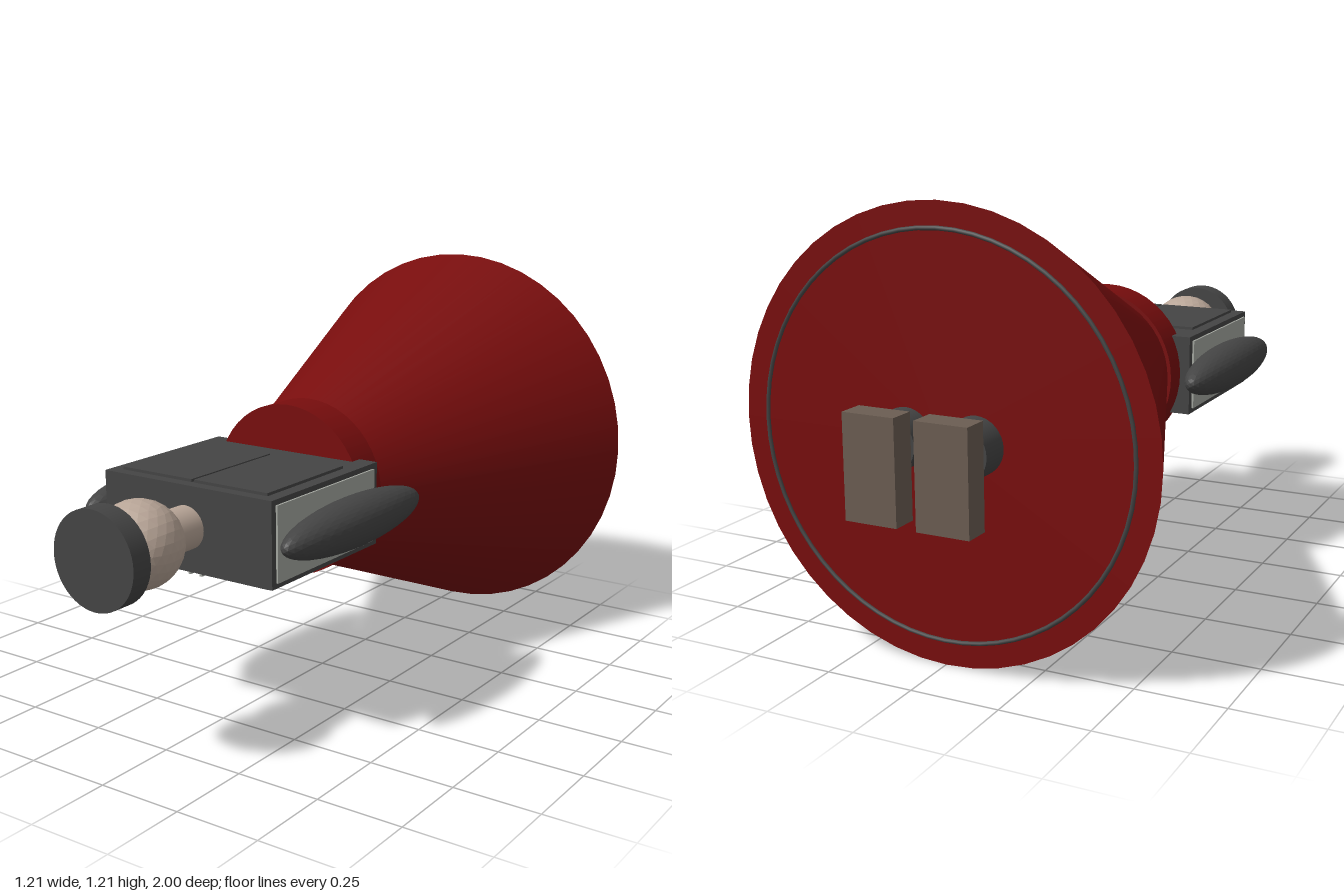
import * as THREE from 'three';

const mat = (color, flatShading = false) => new THREE.MeshStandardMaterial({ color, flatShading });

export function createModel() {
  const model = new THREE.Group();
  const red = mat(0x780d0d);
  const dark = mat(0x444444);
  const darkFaceted = mat(0x444444, true);
  const skin = mat(0xb8a597);
  const skinFaceted = mat(0xb8a597, true);
  const pale = mat(0xa3a69f);
  const brown = mat(0x6b5d52);
  const cy = 0.61; // height of the long axis

  function add(name, geometry, material, x, y, z) {
    const mesh = new THREE.Mesh(geometry, material);
    mesh.name = name;
    mesh.position.set(x, y, z);
    model.add(mesh);
    return mesh;
  }
  // Box from its centre and size
  const box = (name, material, x, y, z, w, h, d) =>
    add(name, new THREE.BoxGeometry(w, h, d), material, x, y, z);
  // Cylinder lying along z, from z0 (back) to z1 (front)
  function rod(name, material, x, rBack, rFront, z0, z1, sides = 48) {
    const g = new THREE.CylinderGeometry(rFront, rBack, z1 - z0, sides).rotateX(Math.PI / 2);
    return add(name, g, material, x, cy, (z0 + z1) / 2);
  }

  // Flared skirt, waistband and the thin ring set into the base
  rod('skirt', red, 0, 0.605, 0.24, -0.83, 0.08);
  rod('waistband', red, 0, 0.255, 0.255, 0.07, 0.18);
  add('baseRing', new THREE.TorusGeometry(0.537, 0.006, 6, 64), dark, 0, cy, -0.832);

  // Torso block with two raised panels above and below
  box('torso', dark, 0, 0.607, 0.393, 0.57, 0.24, 0.5);
  for (const s of [-1, 1]) {
    box('topPanel', dark, s * 0.126, 0.728, 0.435, 0.244, 0.014, 0.35);
    box('bottomPanel', dark, s * 0.126, 0.482, 0.435, 0.244, 0.02, 0.35);
    box('bottomSeam', pale, s * 0.02, 0.47, 0.435, 0.008, 0.008, 0.35);
    box('sidePanel', pale, s * 0.286, 0.607, 0.395, 0.01, 0.21, 0.46);
    box('waistPin', pale, s * 0.195, 0.443, 0.05, 0.008, 0.008, 0.05);

    // Arm
    const arm = add('arm', new THREE.IcosahedronGeometry(1, 6), darkFaceted, s * 0.338, cy, 0.34);
    arm.scale.set(0.07, 0.07, 0.325);

    // Leg and foot
    rod('leg', dark, s * 0.103, 0.077, 0.077, -0.915, -0.8, 32);
    box('foot', brown, s * 0.103, 0.565, -0.963, 0.15, 0.28, 0.074);
  }

  // Neck, head and flat hat
  rod('neck', skin, 0, 0.061, 0.061, 0.63, 0.75, 32);
  add('head', new THREE.IcosahedronGeometry(0.12, 4), skinFaceted, 0, cy, 0.83);
  rod('hat', dark, 0, 0.134, 0.134, 0.937, 1.0);

  return model;
}
